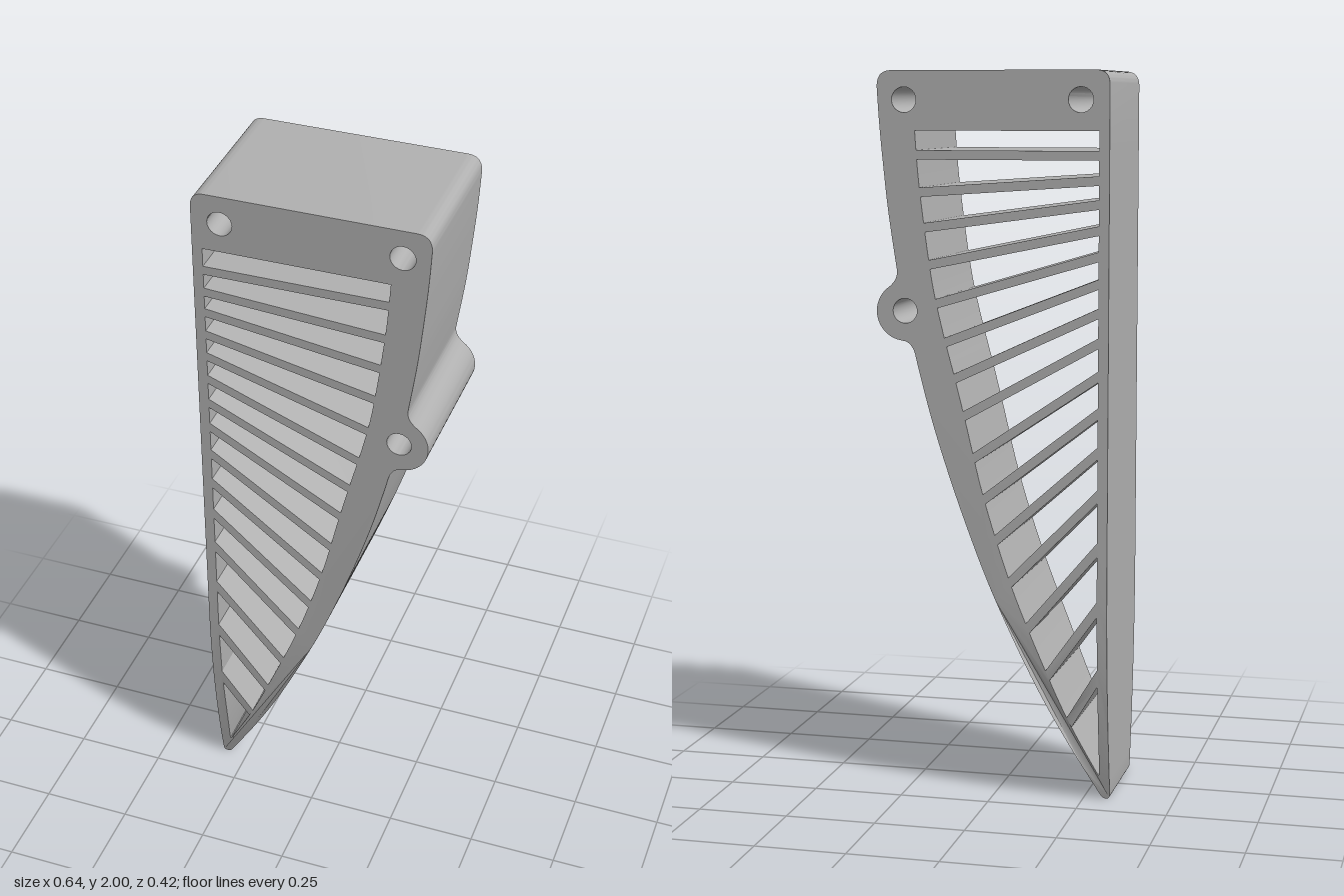
import * as THREE from 'three';
import { toCreasedNormals } from 'three/addons/utils/BufferGeometryUtils.js';

const V = (x, y) => new THREE.Vector2(x, y);
const HALF_DEPTH = 0.21, LEFT = -0.324, INNER_LEFT = -0.296, SLAT = 0.025;

// Inner edge of the curved wall, as x for a given height
const innerCurve = new THREE.SplineCurve([
  V(-0.293, 0.07), V(-0.216, 0.22), V(-0.155, 0.36), V(-0.055, 0.61), V(0.02, 0.845),
  V(0.07, 1.05), V(0.1, 1.17), V(0.139, 1.32), V(0.167, 1.455), V(0.198, 1.69), V(0.21, 1.84),
]).getPoints(80);
function innerX(y) {
  let i = 1;
  while (i < innerCurve.length - 1 && innerCurve[i].y < y) i++;
  const a = innerCurve[i - 1], b = innerCurve[i];
  return a.x + (b.x - a.x) * (y - a.y) / (b.y - a.y);
}

// Centre height of each slat at the straight wall and at the curved wall
const slats = [
  [1.775, 1.775], [1.709, 1.675], [1.646, 1.58], [1.577, 1.48], [1.508, 1.375],
  [1.435, 1.27], [1.357, 1.172], [1.277, 1.07], [1.187, 0.955], [1.087, 0.842],
  [0.98, 0.73], [0.862, 0.614], [0.715, 0.487], [0.55, 0.355], [0.355, 0.222],
];

// Ends of one long edge of a slat; side is +1 above, -1 below, 0 for a bare line
function slatEdge([yl, yr], side) {
  const xr = innerX(yr), m = (yr - yl) / (xr - INNER_LEFT);
  const h = side * SLAT / 2 * Math.hypot(1, m);
  let y = yr + h;
  for (let i = 0; i < 30; i++) y = yr + h + m * (innerX(y) - xr);
  return { left: yl + h, right: y };
}

// Opening between two slat edges
function opening(top, bottom) {
  const pts = [V(INNER_LEFT, top.left), V(INNER_LEFT, bottom.left)];
  for (let i = 0; i <= 4; i++) {
    const y = bottom.right + (top.right - bottom.right) * i / 4;
    pts.push(V(innerX(y), y));
  }
  return new THREE.Path(pts);
}

function outline() {
  const s = new THREE.Shape();
  // rounded tip and curved wall
  s.moveTo(LEFT, 0.015);
  s.quadraticCurveTo(LEFT, 0, -0.312, 0);
  s.quadraticCurveTo(-0.303, 0, -0.296, 0.012);
  s.splineThru([V(-0.2, 0.178), V(-0.11, 0.35), V(0, 0.59), V(0.07, 0.768), V(0.125, 0.925),
    V(0.167, 1.06), V(0.2, 1.185), V(0.212, 1.235)]);
  // screw lug with fillets
  s.quadraticCurveTo(0.222, 1.27, 0.247, 1.272);
  s.absarc(0.24, 1.352, 0.08, -1.483, 0.96, false);
  s.quadraticCurveTo(0.257, 1.44, 0.263, 1.47);
  s.splineThru([V(0.285, 1.62), V(0.3, 1.76), V(0.309, 1.86), V(0.315, 1.955)]);
  // rounded top corners
  s.quadraticCurveTo(0.316, 2, 0.275, 2);
  s.lineTo(LEFT + 0.04, 2);
  s.quadraticCurveTo(LEFT, 2, LEFT, 1.96);
  // straight wall, divided so that it can follow the taper
  for (let y = 1.8; y > 0.05; y -= 0.06) s.lineTo(LEFT, y);
  s.closePath();
  return s;
}

export function createModel() {
  const group = new THREE.Group();
  const grey = new THREE.MeshStandardMaterial({ color: 0xb0b0b0 });
  grey.name = 'grey';

  const shape = outline();
  // screw holes
  for (const [x, y] of [[-0.246, 1.922], [0.24, 1.922], [0.24, 1.354]]) {
    const hole = new THREE.Path();
    hole.absarc(x, y, 0.034, 0, Math.PI * 2, true);
    shape.holes.push(hole);
  }
  // louvre openings
  for (let i = 0; i <= slats.length; i++) {
    const top = i === 0 ? slatEdge([1.84, 1.84], 0) : slatEdge(slats[i - 1], -1);
    const bottom = i === slats.length ? slatEdge([0.07, 0.07], 0) : slatEdge(slats[i], 1);
    shape.holes.push(opening(top, bottom));
  }

  let geo = new THREE.ExtrudeGeometry(shape, {
    depth: HALF_DEPTH * 2, bevelEnabled: false, curveSegments: 12,
  });
  geo.translate(0, 0, -HALF_DEPTH);
  // narrow the depth gently toward the tip
  const p = geo.attributes.position;
  for (let i = 0; i < p.count; i++) {
    const t = Math.max(0, (0.62 - p.getY(i)) / 0.62);
    p.setZ(i, Math.sign(p.getZ(i)) * (HALF_DEPTH - 0.065 * t * t));
  }
  geo.clearGroups();
  geo = toCreasedNormals(geo, 0.5);

  const body = new THREE.Mesh(geo, grey);
  body.name = 'louvredVentBody';
  group.add(body);
  return group;
}
